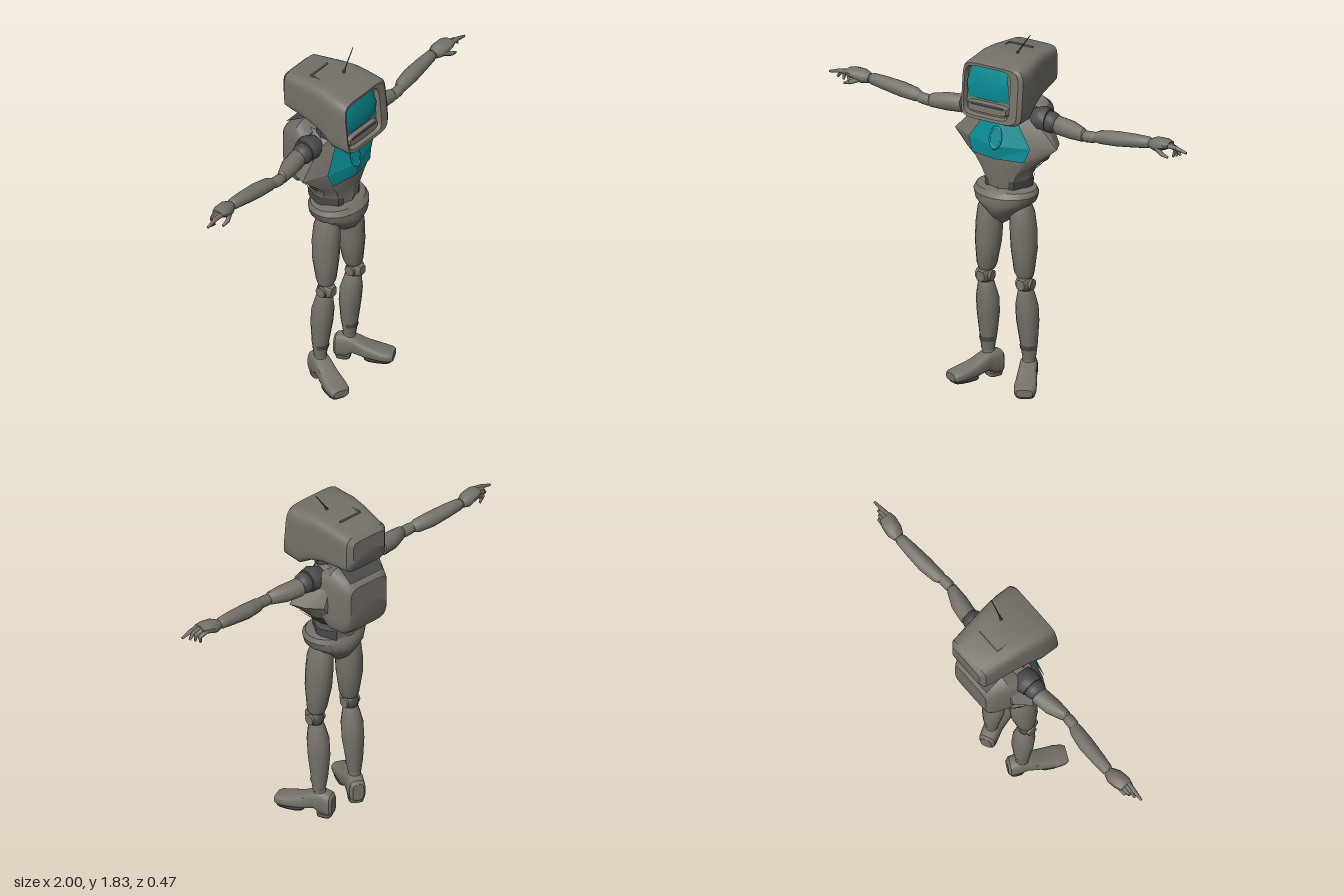
import * as THREE from 'three';
import { toCreasedNormals } from 'three/addons/utils/BufferGeometryUtils.js';

const mat = (name, color) => new THREE.MeshStandardMaterial({ name, color });

// Grid of points to triangles; closed rows wrap round and get end caps
function surface(rows, closed = false, crease = 0.6) {
  const pos = [], n = rows[0].length;
  const tri = (a, b, c) => pos.push(...a, ...b, ...c);
  for (let i = 0; i < rows.length - 1; i++) {
    for (let j = 0; j < (closed ? n : n - 1); j++) {
      const k = (j + 1) % n;
      tri(rows[i][j], rows[i][k], rows[i + 1][k]);
      tri(rows[i][j], rows[i + 1][k], rows[i + 1][j]);
    }
  }
  if (closed) {
    const mid = r => [0, 1, 2].map(c => r.reduce((s, p) => s + p[c], 0) / n);
    const first = rows[0], last = rows[rows.length - 1];
    for (let j = 0; j < n; j++) {
      const k = (j + 1) % n;
      tri(mid(first), first[k], first[j]);
      tri(mid(last), last[j], last[k]);
    }
  }
  const g = new THREE.BufferGeometry();
  g.setAttribute('position', new THREE.Float32BufferAttribute(pos, 3));
  return toCreasedNormals(g, crease);
}

// Stations [t, u, v, ru, rv] along an axis; p < 1 squares the section off.
// (u, v) is (y, z) on axis x, (z, x) on axis y, (x, y) on axis z.
function loft(axis, stations, sides = 14, p = 1) {
  const a = 'xyz'.indexOf(axis);
  const pw = v => Math.sign(v) * Math.pow(Math.abs(v), p);
  return surface(stations.map(([t, u, v, ru, rv]) => Array.from({ length: sides }, (_, j) => {
    const th = (j + 0.5) / sides * Math.PI * 2, q = [0, 0, 0];
    q[a] = t;
    q[(a + 1) % 3] = u + ru * pw(Math.cos(th));
    q[(a + 2) % 3] = v + rv * pw(Math.sin(th));
    return q;
  })), true);
}

// Tapered rod between two points
function rod(a, b, r0, r1, sides = 8) {
  const A = new THREE.Vector3(...a), d = new THREE.Vector3(...b).sub(A);
  const g = new THREE.CylinderGeometry(r1, r0, d.length(), sides);
  g.applyQuaternion(new THREE.Quaternion().setFromUnitVectors(new THREE.Vector3(0, 1, 0), d.clone().normalize()));
  return g.translate(...A.addScaledVector(d, 0.5).toArray());
}

// Copy reflected in x with its corners reordered
function mirrored(geo) {
  const g = geo.index ? geo.toNonIndexed() : geo.clone();
  for (const key of ['position', 'normal']) {
    const at = g.attributes[key];
    for (let i = 0; i < at.count; i += 3) {
      const v = [0, 2, 1].map(k => [-at.getX(i + k), at.getY(i + k), at.getZ(i + k)]);
      v.forEach((q, k) => at.setXYZ(i + k, ...q));
    }
  }
  return g;
}

// Front of the head leans forward toward the chin
function lean(g) {
  const at = g.attributes.position;
  for (let i = 0; i < at.count; i++) {
    if (at.getZ(i) > 0.14) at.setZ(i, at.getZ(i) + (1.71 - at.getY(i)) * 0.1);
  }
  return toCreasedNormals(g, 0.6);
}

export function createModel() {
  const root = new THREE.Group();
  const body = mat('warm grey shell', 0x76726a), dark = mat('dark grey', 0x4b4b4d);
  const teal = mat('teal glass', 0x078a92);
  const add = (name, geo, m) => {
    const mesh = new THREE.Mesh(geo, m);
    mesh.name = name;
    root.add(mesh);
  };
  const pair = (name, geo, m) => {
    add('left' + name, geo, m);
    add('right' + name, mirrored(geo), m);
  };
  const box = (w, h, d, x, y, z) => new THREE.BoxGeometry(w, h, d).translate(x, y, z);

  // Head: boxy shell tapering to the back, with a recessed face
  const headStations = [
    [-0.228, 0.015, 1.615, 0.1, 0.06], [-0.205, 0.015, 1.598, 0.125, 0.098],
    [-0.04, 0.015, 1.603, 0.148, 0.117], [0.04, 0.015, 1.593, 0.158, 0.132],
    [0.11, 0.015, 1.565, 0.167, 0.15], [0.18, 0.012, 1.563, 0.168, 0.146],
    [0.194, 0.005, 1.563, 0.155, 0.139], [0.192, -0.012, 1.563, 0.128, 0.125],
    [0.165, -0.012, 1.563, 0.122, 0.12]];
  add('headShell', lean(loft('z', headStations, 28, 0.32)), body);
  add('screen', surface([[1.52, 0.191, 0.113], [1.6, 0.2, 0.115], [1.682, 0.178, 0.1]]
    .map(([y, z, w]) => [-1, -0.5, 0.5, 1].map(k => [-0.014 + k * w, y, z - 0.006 * (Math.abs(k) === 1)]))), teal);
  add('chinBar', lean(loft('z', [[0.16, -0.012, 1.48, 0.115, 0.03], [0.184, -0.012, 1.48, 0.105, 0.022]], 16, 0.4)), body);
  add('mouthSlot', lean(box(0.18, 0.006, 0.008, -0.012, 1.492, 0.184).toNonIndexed()), dark);
  add('neck', loft('y', [[1.36, 0.02, 0, 0.08, 0.1], [1.43, 0.025, 0, 0.08, 0.12], [1.52, 0.03, 0, 0.075, 0.11]]), dark);

  // Roof ridge and antenna
  add('roofRidge', box(0.13, 0.008, 0.008, 0.01, 1.716, -0.085), body);
  add('roofRidgeSide', box(0.006, 0.008, 0.07, -0.055, 1.717, -0.05), body);
  add('antennaBase', rod([0.055, 1.71, 0.03], [0.058, 1.735, 0.03], 0.01, 0.006), dark);
  add('antenna', rod([0.057, 1.73, 0.03], [0.127, 1.832, 0.03], 0.004, 0.002, 6), dark);

  // Chest and waist: half outlines [x, z] from front to back at each height
  const chest = [
    [1.03, [[0, 0.125], [0.075, 0.1], [0.115, 0.03], [0.115, 0], [0.08, -0.07], [0, -0.085]]],
    [1.08, [[0, 0.13], [0.08, 0.105], [0.117, 0.04], [0.115, 0], [0.085, -0.07], [0, -0.085]]],
    [1.13, [[0, 0.133], [0.1, 0.11], [0.135, 0.06], [0.133, -0.02], [0.1, -0.08], [0, -0.09]]],
    [1.2, [[0, 0.14], [0.145, 0.112], [0.205, 0.065], [0.2, -0.03], [0.15, -0.1], [0, -0.11]]],
    [1.27, [[0, 0.147], [0.172, 0.1], [0.285, 0.045], [0.255, -0.03], [0.19, -0.1], [0, -0.12]]],
    [1.39, [[0, 0.11], [0.095, 0.085], [0.175, 0.05], [0.19, 0], [0.15, -0.1], [0, -0.12]]],
    [1.45, [[0, 0.08], [0.06, 0.07], [0.09, 0.04], [0.1, 0], [0.1, -0.08], [0, -0.1]]]];
  add('chest', surface(chest.map(([y, h]) => [...h, ...h.slice(1, -1).reverse().map(([x, z]) => [-x, z])]
    .map(([x, z]) => [x, y, z])), true, 0.5), body);
  add('chestGlass', surface(chest.slice(3, 6).map(([y, [c, e]]) =>
    [[-e[0], y, e[1] + 0.009], [0, y, c[1] + 0.009], [e[0], y, e[1] + 0.009]]), false, 0.2), teal);
  const onChest = g => g.scale(0.62, 1, 0.5).rotateX(-0.28).translate(0, 1.31, 0.145);
  add('chestPortRing', onChest(new THREE.TorusGeometry(0.05, 0.009, 8, 24)), teal);
  add('chestPort', onChest(new THREE.CylinderGeometry(0.045, 0.045, 0.01, 20).rotateX(Math.PI / 2)), teal);

  // Dark patches on the waist and under the chest wings, following the chest outline
  const waistRow = (y, s) => [[0.052, 0.109], ...chest[0][1].slice(1, 5)]
    .map(([x, z]) => [x * s, y, 0.02 + (z - 0.02) * s]);
  pair('WaistPatch', surface([waistRow(1.03, 1.06), waistRow(1.082, 1.1)]), dark);
  pair('UnderarmPatch', surface(chest.slice(2, 4).map(([y, h]) => h.slice(2, 5)
    .map(([x, z]) => [x + 0.005, y - 0.004, z]))), dark);

  // Backpack with a sloping top, widening toward the shoulders
  add('backpack', loft('z', [
    [-0.21, 0, 1.3, 0.115, 0.095], [-0.195, 0, 1.28, 0.13, 0.135], [-0.16, 0, 1.277, 0.145, 0.162],
    [-0.1, 0, 1.295, 0.17, 0.18], [-0.03, 0, 1.32, 0.19, 0.12]], 24, 0.4), body);
  add('backpackTop', surface([[-0.197, 1.423], [-0.16, 1.447], [-0.1, 1.484]]
    .map(([z, y]) => [[0.105, y, z], [-0.105, y, z]])), dark);

  // Hips: rounded belt above a V-shaped brief
  add('hips', loft('y', [
    [0.845, 0.045, 0, 0.04, 0.012], [0.89, 0.045, 0, 0.1, 0.055], [0.935, 0.042, 0, 0.128, 0.112],
    [0.965, 0.042, 0, 0.138, 0.152], [1.005, 0.042, 0, 0.136, 0.166], [1.03, 0.038, 0, 0.118, 0.155],
    [1.04, 0.03, 0, 0.09, 0.11]], 24), body);

  // Legs
  pair('Thigh', loft('y', [
    [0.575, 0.047, 0.107, 0.04, 0.04], [0.6, 0.048, 0.104, 0.05, 0.05], [0.72, 0.042, 0.1, 0.068, 0.065],
    [0.82, 0.04, 0.095, 0.071, 0.066], [0.9, 0.04, 0.09, 0.068, 0.06], [0.95, 0.04, 0.085, 0.05, 0.05]]), body);
  pair('KneeJoint', new THREE.SphereGeometry(0.042, 14, 10).translate(0.112, 0.535, 0.048), dark);
  pair('KneePin', rod([0.07, 0.54, 0.05], [0.155, 0.54, 0.05], 0.027, 0.027, 12), body);
  pair('KneeCap', loft('z', [[0.06, 0.112, 0.54, 0.033, 0.04], [0.102, 0.112, 0.545, 0.022, 0.026]], 10, 0.6), body);
  pair('Shin', loft('y', [
    [0.14, 0.02, 0.115, 0.03, 0.033], [0.22, 0.02, 0.113, 0.042, 0.044], [0.34, 0.026, 0.11, 0.054, 0.057],
    [0.42, 0.033, 0.11, 0.055, 0.057], [0.49, 0.042, 0.111, 0.043, 0.042], [0.52, 0.045, 0.112, 0.03, 0.033]]), body);
  pair('AnkleBand', surface([[0.19, 0.042], [0.215, 0.046]].map(([y, r]) => Array.from({ length: 9 }, (_, j) => {
    const th = (j - 4) * 0.33;
    return [0.1135 + r * Math.sin(th), y, 0.02 + r * Math.cos(th)];
  }))), dark);
  pair('Ankle', new THREE.CylinderGeometry(0.029, 0.034, 0.08, 12).translate(0.112, 0.13, 0.018), body);

  // Feet, toes turned out
  const turnOut = g => g.rotateY(0.44).translate(0.105, 0, 0.008);
  pair('Shoe', turnOut(loft('z', [
    [-0.06, 0, 0.065, 0.028, 0.045], [-0.048, 0, 0.067, 0.04, 0.059], [0, 0, 0.077, 0.044, 0.062],
    [0.035, 0, 0.083, 0.044, 0.046], [0.1, 0, 0.06, 0.05, 0.038], [0.18, 0, 0.047, 0.055, 0.028],
    [0.22, 0, 0.044, 0.05, 0.025], [0.236, 0, 0.043, 0.04, 0.019]], 16, 0.6)), body);
  pair('Heel', turnOut(loft('y', [[0.003, -0.015, 0, 0.036, 0.035], [0.02, -0.015, 0, 0.039, 0.039]], 14, 0.6)), body);
  pair('HeelSole', turnOut(loft('y', [[0, -0.015, 0, 0.036, 0.036], [0.004, -0.015, 0, 0.036, 0.036]], 14, 0.6)), dark);
  pair('ToeSole', turnOut(loft('y', [[0.013, 0.158, 0, 0.07, 0.048], [0.021, 0.158, 0, 0.072, 0.05]], 14, 0.6)), dark);

  // Arms held out sideways
  pair('ShoulderSocket', loft('x', [[0.13, 1.39, 0, 0.05, 0.055], [0.18, 1.395, 0, 0.064, 0.066], [0.215, 1.395, 0, 0.056, 0.058]]), dark);
  pair('ShoulderBall', new THREE.SphereGeometry(0.053, 16, 12).translate(0.228, 1.39, 0.002), dark);
  pair('UpperArm', loft('x', [
    [0.25, 1.38, 0, 0.035, 0.035], [0.265, 1.381, 0, 0.046, 0.046], [0.35, 1.378, 0.012, 0.045, 0.045],
    [0.425, 1.375, 0.03, 0.035, 0.028], [0.435, 1.375, 0.03, 0.025, 0.02]]), body);
  pair('Elbow', loft('x', [
    [0.42, 1.374, 0.032, 0.024, 0.02], [0.445, 1.372, 0.032, 0.029, 0.027],
    [0.485, 1.375, 0.03, 0.028, 0.027], [0.51, 1.38, 0.025, 0.022, 0.02]], 12), body);
  pair('Forearm', loft('x', [
    [0.49, 1.378, 0.025, 0.024, 0.025], [0.515, 1.38, 0.02, 0.034, 0.034], [0.6, 1.386, 0.01, 0.038, 0.04],
    [0.7, 1.395, 0.004, 0.034, 0.035], [0.77, 1.4, 0, 0.029, 0.029], [0.785, 1.4, 0, 0.02, 0.02]]), body);
  pair('Wrist', loft('x', [[0.76, 1.4, 0, 0.019, 0.02], [0.8, 1.402, 0.002, 0.022, 0.024]], 10), body);
  pair('Palm', loft('x', [
    [0.785, 1.4, 0, 0.024, 0.027], [0.82, 1.405, 0.003, 0.036, 0.042],
    [0.87, 1.415, 0.008, 0.028, 0.043], [0.9, 1.42, 0.012, 0.015, 0.034]], 12), body);

  // Fingers as two-bone chains: pointing finger, three curled, thumb
  const fingers = [
    [[0.885, 1.42, 0.03], [0.94, 1.415, 0.026], [0.998, 1.4, 0.026]],
    [[0.885, 1.42, 0.012], [0.935, 1.41, 0.014], [0.958, 1.378, 0.016]],
    [[0.885, 1.418, -0.004], [0.928, 1.4, 0.002], [0.93, 1.365, 0.006]],
    [[0.875, 1.412, -0.018], [0.915, 1.39, -0.012], [0.905, 1.352, -0.004]],
    [[0.83, 1.395, 0.03], [0.87, 1.378, 0.048], [0.905, 1.366, 0.046]]];
  fingers.forEach(([a, b, c], i) => {
    pair('FingerBase' + i, rod(a, b, 0.013, 0.011), body);
    pair('FingerKnuckle' + i, new THREE.SphereGeometry(0.011, 8, 6).translate(...b), body);
    pair('FingerTip' + i, rod(b, c, 0.011, 0.006), body);
  });
  return root;
}
